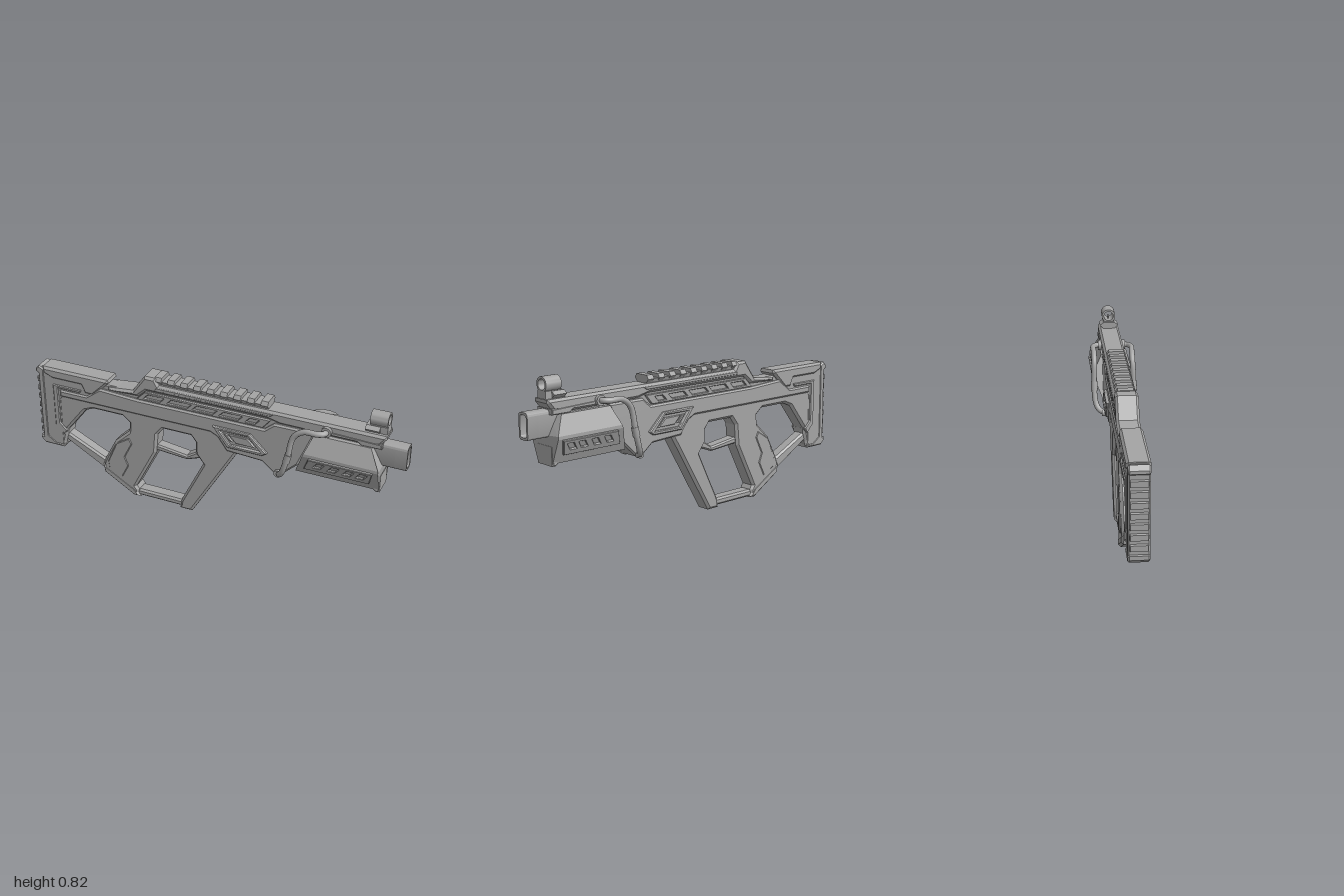
import * as THREE from 'three';
import { toCreasedNormals } from 'three/addons/utils/BufferGeometryUtils.js';

const steel = new THREE.MeshStandardMaterial({ color: 0xa4a4a4 });
steel.name = 'grey steel';

const toShape = (pts) => new THREE.Shape(pts.map(([x, y]) => new THREE.Vector2(x, y)));
const toPath = (pts) => new THREE.Path(pts.map(([x, y]) => new THREE.Vector2(x, y)));

export function createModel() {
  const model = new THREE.Group();
  model.name = 'rifle';

  const add = (name, geo, parent = model) => {
    const mesh = new THREE.Mesh(geo, steel);
    mesh.name = name;
    parent.add(mesh);
    return mesh;
  };

  // Side profile, chamfered, centred on z = 0 with half thickness hz
  const plateGeo = (pts, hz, bevel, holes = []) => {
    const shape = toShape(pts);
    shape.holes = holes.map(toPath);
    const geo = new THREE.ExtrudeGeometry(shape, {
      depth: 2 * (hz - bevel), bevelEnabled: bevel > 0, bevelThickness: bevel,
      bevelSize: bevel, bevelOffset: -bevel, bevelSegments: 1,
    });
    return geo.translate(0, 0, -(hz - bevel));
  };
  const plate = (name, ...args) => add(name, plateGeo(...args));

  // Section given in (z, y), run along x
  const prism = (name, shape, x0, x1) => {
    const geo = new THREE.ExtrudeGeometry(shape, { depth: x1 - x0, bevelEnabled: false, curveSegments: 12 });
    return add(name, toCreasedNormals(geo.rotateY(Math.PI / 2).translate(x0, 0, 0), 0.6));
  };
  const mirrored = (half) => [...half, ...half.map(([z, y]) => [-z, y]).reverse()];
  const slanted = (x, y, w, h, lean) =>
    [[x - w / 2 - lean, y - h / 2], [x + w / 2 - lean, y - h / 2], [x + w / 2 + lean, y + h / 2], [x - w / 2 + lean, y + h / 2]];

  // Lower frame: stock post, grip and front post
  plate('lowerFrame', [
    [-0.88, 0.54], [-0.88, 0.215], [-0.855, 0.215], [-0.834, 0.29], [-0.83, 0.323], [-0.72, 0.463],
    [-0.67, 0.484], [-0.5, 0.484], [-0.46, 0.452], [-0.465, 0.4], [-0.55, 0.32], [-0.61, 0.206],
    [-0.625, 0.17], [-0.62, 0.11], [-0.45, 0.008], [-0.42, 0.01], [-0.42, 0.05], [-0.433, 0.07],
    [-0.31, 0.31], [-0.3, 0.42], [-0.267, 0.463], [-0.112, 0.463], [-0.086, 0.43], [-0.086, 0.365],
    [-0.045, 0.31], [-0.17, 0.056], [-0.18, 0], [-0.11, 0], [0.14, 0.42], [0.14, 0.54],
  ], 0.046, 0.013);
  plate('bottomBar', [[-0.45, 0.01], [-0.15, 0.01], [-0.15, 0.048], [-0.45, 0.048]], 0.036, 0.01);
  plate('triggerGuard', [[-0.33, 0.32], [-0.14, 0.305], [-0.06, 0.335], [-0.07, 0.375], [-0.14, 0.33], [-0.33, 0.355]], 0.032, 0.008);
  plate('rearStrut', [[-0.87, 0.26], [-0.61, 0.115], [-0.6, 0.18], [-0.84, 0.295], [-0.87, 0.29]], 0.034, 0.01);
  plate('gripBackstrap', [
    [-0.595, 0.19], [-0.54, 0.315], [-0.462, 0.365], [-0.445, 0.33], [-0.49, 0.24], [-0.47, 0.19], [-0.51, 0.11], [-0.59, 0.15],
  ], 0.05, 0.006);
  plate('gripFoot', [[-0.628, 0.16], [-0.622, 0.108], [-0.45, 0.005], [-0.41, 0.008], [-0.44, 0.055]], 0.048, 0.012);

  // Receiver
  plate('receiver', [
    [-0.86, 0.52], [0, 0.52], [0.04, 0.5], [0.09, 0.43], [0.28, 0.42], [0.355, 0.36], [0.385, 0.37], [0.47, 0.45],
    [0.52, 0.57], [0.55, 0.65], [0.34, 0.65], [0.29, 0.608], [-0.4, 0.608], [-0.62, 0.62], [-0.7, 0.56], [-0.86, 0.56],
  ], 0.055, 0.009);
  plate('spine', [
    [-0.7, 0.55], [-0.62, 0.645], [-0.42, 0.645], [-0.35, 0.71], [0.3, 0.71], [0.86, 0.7], [0.82, 0.6], [0.5, 0.55],
  ], 0.038, 0.006);
  plate('topHousing', [
    [-0.57, 0.64], [-0.43, 0.655], [-0.36, 0.752], [-0.3, 0.752], [-0.28, 0.716], [0.9, 0.716], [0.9, 0.7], [0.87, 0.662],
    [0.76, 0.652], [0.37, 0.655], [0.3, 0.672], [-0.35, 0.672], [-0.4, 0.628], [-0.57, 0.622],
  ], 0.056, 0.012);
  plate('housingRib', [[-0.3, 0.69], [0.32, 0.69], [0.34, 0.705], [-0.29, 0.705]], 0.059, 0.003);
  plate('noseRib', [[0.63, 0.66], [0.76, 0.66], [0.78, 0.645], [0.88, 0.645], [0.88, 0.672], [0.63, 0.68]], 0.058, 0.004);

  // Slotted band under the housing
  const bandSlots = [[-0.31, 0.09], [-0.17, 0.11], [-0.03, 0.11], [0.11, 0.1], [0.225, 0.05]]
    .map(([x, w]) => slanted(x, 0.636, w, 0.024, 0.012));
  plate('slottedBand', [[-0.41, 0.612], [0.28, 0.612], [0.32, 0.662], [-0.36, 0.662]], 0.051, 0.003, bandSlots);

  // Side panels around the ejection window
  const panelOuter = [[0.1, 0.462], [0.285, 0.462], [0.312, 0.48], [0.22, 0.567], [0.02, 0.567]];
  const panelInner = [[0.115, 0.48], [0.278, 0.48], [0.21, 0.551], [0.058, 0.551]];
  plate('windowFrame', panelOuter, 0.07, 0.005, [panelInner]);
  plate('windowCover', [[0.145, 0.494], [0.25, 0.494], [0.205, 0.537], [0.105, 0.537]], 0.064, 0.004);
  plate('windowCatch', [[0.11, 0.5], [0.13, 0.5], [0.092, 0.537], [0.075, 0.537]], 0.064, 0.003);

  // Sight rail
  prism('railBase', toShape(mirrored([[0.03, 0.705], [0.042, 0.736]])), -0.31, 0.3);
  for (let i = 0; i < 9; i++) {
    const x = -0.305 + i * 0.0714;
    prism('railTooth', toShape(mirrored([[0.032, 0.716], [0.05, 0.736], [0.038, 0.756]])), x, x + 0.037);
  }

  // Stock
  plate('stockBody', [
    [-0.965, 0.672], [-0.6, 0.672], [-0.69, 0.535], [-0.82, 0.535], [-0.85, 0.5], [-0.85, 0.23], [-0.865, 0.212], [-0.965, 0.212],
  ], 0.047, 0.012);
  plate('cheekRest', [
    [-0.955, 0.677], [-0.575, 0.677], [-0.57, 0.66], [-0.66, 0.572], [-0.71, 0.572], [-0.73, 0.617], [-0.9, 0.617], [-0.955, 0.64],
  ], 0.055, 0.012);
  plate('stockTrim', [
    [-0.9, 0.585], [-0.73, 0.585], [-0.74, 0.567], [-0.87, 0.567], [-0.87, 0.36], [-0.83, 0.32], [-0.85, 0.29], [-0.9, 0.34],
  ], 0.053, 0.005);
  plate('buttPad', [
    [-0.985, 0.25], [-0.985, 0.63], [-1, 0.64], [-1, 0.655], [-0.98, 0.676], [-0.95, 0.66], [-0.95, 0.26],
    [-0.9, 0.225], [-0.86, 0.225], [-0.86, 0.207], [-0.975, 0.207], [-1, 0.23], [-1, 0.25],
  ], 0.05, 0.007);
  for (let i = 0; i < 7; i++) {
    const y = 0.285 + i * 0.051;
    plate('buttPadRidge', [[-0.97, y - 0.02], [-0.997, y - 0.014], [-0.997, y + 0.014], [-0.97, y + 0.02]], 0.043, 0.004);
  }

  // Hexagonal handguard with sloping ends
  const guard = new THREE.ExtrudeGeometry(
    toShape(mirrored([[0.057, 0.42], [0.105, 0.54], [0.105, 0.555], [0.06, 0.645]])), { depth: 1, bevelEnabled: false });
  const p = guard.attributes.position;
  for (let i = 0; i < p.count; i++) {
    const y = p.getY(i);
    const rear = 0.46 + (y - 0.42) * 0.39;
    const front = 0.885 - Math.max(0, y - 0.555) * 0.6;
    p.setXYZ(i, THREE.MathUtils.lerp(rear, front, p.getZ(i)), y, -p.getX(i));
  }
  guard.computeVertexNormals();
  add('handguard', guard);
  plate('handguardLip', [[0.84, 0.43], [0.865, 0.408], [0.887, 0.408], [0.887, 0.5], [0.84, 0.5]], 0.06, 0.006);
  const ventSlots = [0.59, 0.665, 0.74, 0.805].map((x) => slanted(x, 0.02, 0.036, 0.034, 0.012));
  for (const s of [1, -1]) {
    const panel = add('ventPanel', plateGeo([[0.51, -0.025], [0.84, -0.025], [0.86, 0.055], [0.54, 0.055]], 0.01, 0.003, ventSlots));
    panel.position.set(0, 0.485, s * 0.084);
    panel.rotation.x = s * 0.38;
  }

  // Barrel with a hollow rounded mouth
  const roundRect = (shape, hw, y0, y1, r) => {
    shape.moveTo(hw, y0 + r);
    shape.lineTo(hw, y1 - r);
    shape.absarc(hw - r, y1 - r, r, 0, Math.PI / 2);
    shape.absarc(-hw + r, y1 - r, r, Math.PI / 2, Math.PI);
    shape.absarc(-hw + r, y0 + r, r, Math.PI, Math.PI * 1.5);
    shape.absarc(hw - r, y0 + r, r, Math.PI * 1.5, Math.PI * 2);
    return shape;
  };
  const mouth = roundRect(new THREE.Shape(), 0.034, 0.54, 0.668, 0.018);
  mouth.holes.push(roundRect(new THREE.Path(), 0.023, 0.552, 0.656, 0.012));
  prism('barrelMouth', mouth, 0.94, 1);
  prism('barrel', roundRect(new THREE.Shape(), 0.034, 0.54, 0.668, 0.018), 0.7, 0.941);

  // Front sight: ring, stem and post
  const ring = new THREE.Shape().absarc(0, 0.781, 0.037, 0, Math.PI * 2);
  ring.holes.push(new THREE.Path().absarc(0, 0.781, 0.026, 0, Math.PI * 2));
  prism('sightRing', ring, 0.808, 0.895);
  prism('sightStem', toShape(mirrored([[0.03, 0.71], [0.03, 0.753]])), 0.808, 0.895);
  prism('sightClamp', toShape(mirrored([[0.03, 0.715], [0.05, 0.735], [0.03, 0.75]])), 0.79, 0.86);
  add('sightPost', new THREE.CylinderGeometry(0.003, 0.003, 0.03, 8)).position.set(0.85, 0.766, 0);

  // Hoses on both sides, with sockets and sleeves
  for (const s of [1, -1]) {
    const side = new THREE.Group();
    side.name = s > 0 ? 'frontHose' : 'backHose';
    model.add(side);
    const path = new THREE.CatmullRomCurve3([
      [0.61, 0.68, 0.05], [0.607, 0.68, 0.085], [0.58, 0.68, 0.102], [0.51, 0.676, 0.102], [0.46, 0.635, 0.102],
      [0.433, 0.51, 0.106], [0.405, 0.42, 0.098], [0.385, 0.388, 0.078], [0.37, 0.38, 0.04],
    ].map(([x, y, z]) => new THREE.Vector3(x, y, s * z)));
    add('hoseTube', new THREE.TubeGeometry(path, 64, 0.0145, 12), side);
    const sleeve = add('hoseSleeve', new THREE.CylinderGeometry(0.018, 0.018, 0.05, 16), side);
    sleeve.position.set(0.433, 0.51, s * 0.105);
    sleeve.rotation.z = -0.24;
    for (const [x, y, z, r] of [[0.61, 0.68, 0.06, 0.026], [0.37, 0.38, 0.056, 0.019]]) {
      const socket = add('hoseSocket', new THREE.CylinderGeometry(r, r, 0.026, 16), side);
      socket.position.set(x, y, s * z);
      socket.rotation.x = Math.PI / 2;
    }
  }
  return model;
}
